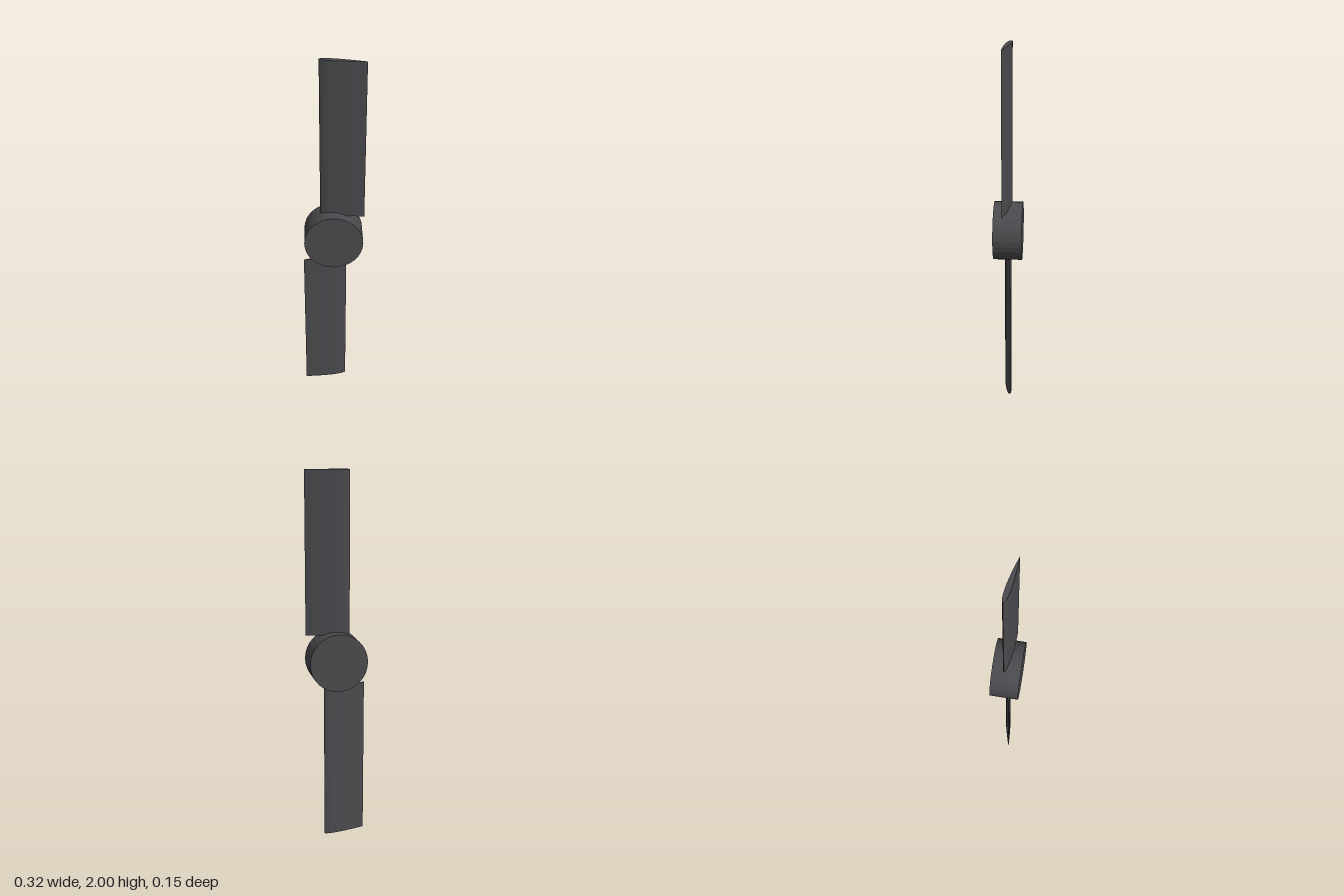
import * as THREE from 'three';

export function createModel() {
  const model = new THREE.Group();
  const darkGrey = new THREE.MeshStandardMaterial({ color: 0x4b4a4e, flatShading: true });
  darkGrey.name = 'darkGrey';

  // Hub: short drum lying along z
  const hub = new THREE.Mesh(new THREE.CylinderGeometry(0.156, 0.156, 0.152, 32).rotateX(Math.PI / 2), darkGrey);
  hub.name = 'hub';
  hub.position.set(0, 1, -0.001);
  model.add(hub);

  // Blade section: symmetric aerofoil, nose at the origin, chord along +x
  const chord = 0.234, thickness = 0.12, steps = 16;
  const half = (t) => 5 * thickness * chord *
    (0.2969 * Math.sqrt(t) - 0.126 * t - 0.3516 * t ** 2 + 0.2843 * t ** 3 - 0.1036 * t ** 4);
  const section = [];
  for (let i = 0; i <= steps; i++) { // lower side, nose to tail
    const t = 1 - Math.cos((i / steps) * Math.PI / 2);
    section.push(new THREE.Vector2(t * chord, -half(t)));
  }
  for (let i = steps - 1; i > 0; i--) { // upper side, back to the nose
    const t = 1 - Math.cos((i / steps) * Math.PI / 2);
    section.push(new THREE.Vector2(t * chord, half(t)));
  }

  // Extruded upwards and pitched about the span
  const bladeGeometry = new THREE.ExtrudeGeometry(new THREE.Shape(section), { depth: 0.862, bevelEnabled: false });
  bladeGeometry.rotateX(-Math.PI / 2);
  bladeGeometry.rotateY(-0.165);
  bladeGeometry.translate(-0.07, 0.138, -0.0125);

  // Two blades, half a turn apart around the hub axis
  ['upperBlade', 'lowerBlade'].forEach((name, i) => {
    const blade = new THREE.Mesh(bladeGeometry, darkGrey);
    blade.name = name;
    blade.position.y = 1;
    blade.rotation.z = i * Math.PI;
    model.add(blade);
  });

  return model;
}
